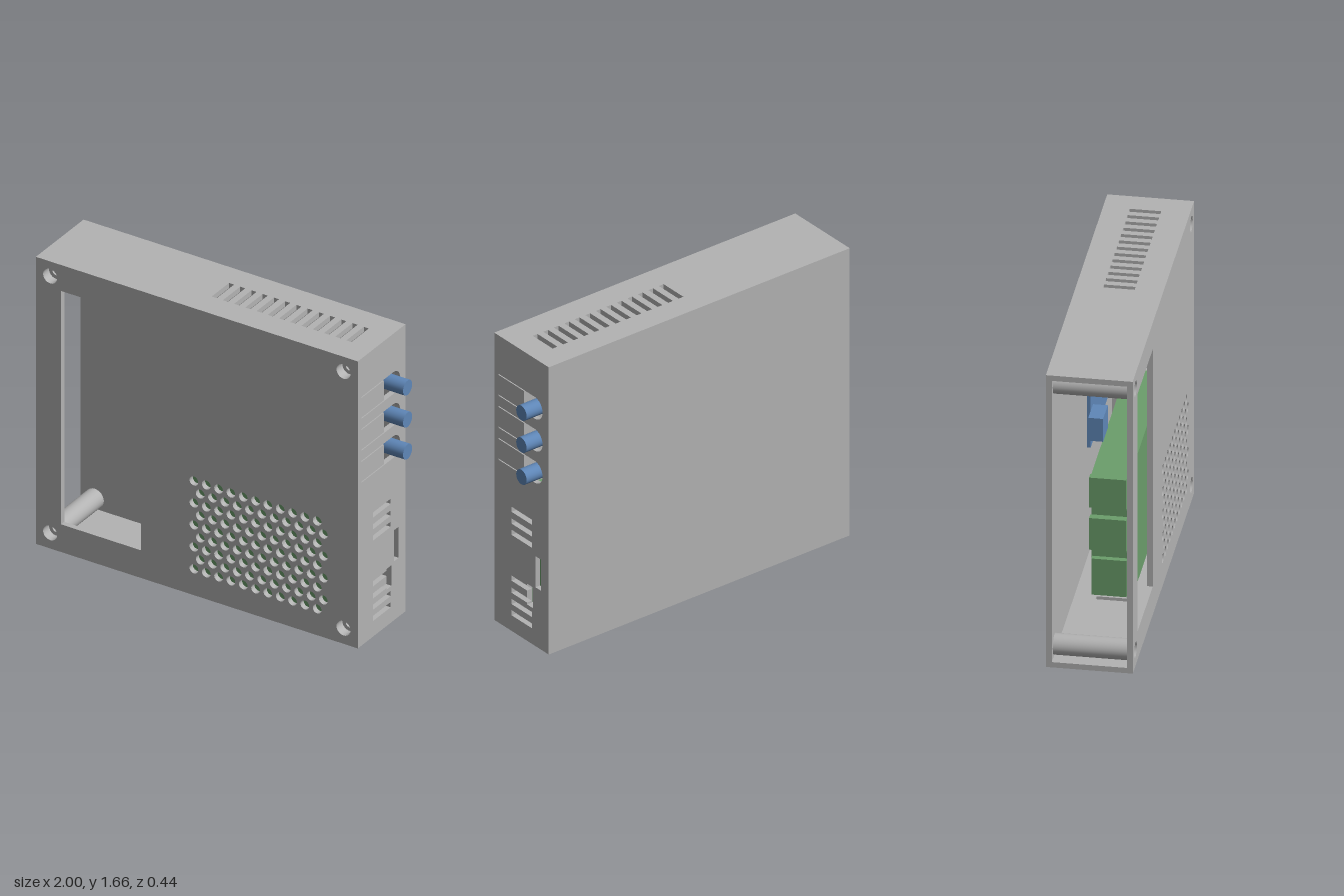
import * as THREE from 'three';
import { toCreasedNormals } from 'three/addons/utils/BufferGeometryUtils.js';

const X0 = -1, X1 = 0.915, H = 1.66, D = 0.22, T = 0.03; // case extents and wall thickness

const mat = (name, color) => {
  const m = new THREE.MeshStandardMaterial({ color });
  m.name = name;
  return m;
};

const rectPoints = (a, b, c, d) => [[a, b], [c, b], [c, d], [a, d]].map(([x, y]) => new THREE.Vector2(x, y));
const rectHole = (a, b, c, d) => new THREE.Path(rectPoints(a, b, c, d));
const polyHole = pts => new THREE.Path(pts.map(([x, y]) => new THREE.Vector2(x, y)));
const roundHole = (x, y, r) => new THREE.Path().absarc(x, y, r, 0, Math.PI * 2, true);

// Flat wall of thickness T with cut-outs
function panel(a, b, c, d, holes) {
  const shape = new THREE.Shape(rectPoints(a, b, c, d));
  shape.holes.push(...holes);
  const g = new THREE.ExtrudeGeometry(shape, { depth: T, bevelEnabled: false, curveSegments: 10 });
  return toCreasedNormals(g, 0.7);
}

export function createModel() {
  const model = new THREE.Group();
  const grey = mat('case grey', 0xb3b3b3);
  const blue = mat('control blue', 0x5f87b8);
  const green = mat('circuit green', 0x6b9e6b);

  const add = (name, geometry, material, x = 0, y = 0, z = 0) => {
    const mesh = new THREE.Mesh(geometry, material);
    mesh.name = name;
    mesh.position.set(x, y, z);
    model.add(mesh);
    return mesh;
  };
  // Box given by its minimum and maximum corners
  const addBox = (name, material, x0, y0, z0, x1, y1, z1) =>
    add(name, new THREE.BoxGeometry(x1 - x0, y1 - y0, z1 - z0), material,
      (x0 + x1) / 2, (y0 + y1) / 2, (z0 + z1) / 2);

  const screws = [[-0.915, 0.09], [-0.915, 1.575], [0.83, 0.09], [0.83, 1.575]];

  // Front wall: window, screw holes and staggered speaker grille
  const frontHoles = [rectHole(-0.85, 0.16, -0.375, 1.51)];
  screws.forEach(([x, y]) => frontHoles.push(roundHole(x, y, 0.042)));
  for (let row = 0; row < 9; row++) {
    for (let i = 0; i < 11; i++) {
      frontHoles.push(roundHole(-0.06 + i * 0.0733 + (row % 2) * 0.037, 0.152 + row * 0.0635, 0.026));
    }
  }
  add('frontWall', panel(X0, 0, X1, H, frontHoles), grey, 0, 0, D - T);
  addBox('backWall', grey, X0, 0, -D, X1, H, -D + T);

  // Top wall with a row of vents
  const inner = D - T;
  const topHoles = [];
  for (let i = 0; i < 13; i++) {
    const x = -0.033 + i * 0.0668;
    topHoles.push(rectHole(x - 0.015, -0.075, x + 0.015, 0.085));
  }
  add('topWall', panel(X0, -inner, X1, inner, topHoles), grey, 0, H - T, 0).rotation.x = -Math.PI / 2;

  // Bottom wall with connector opening, thin slit and vents
  const bottomHoles = [
    polyHole([[0.17, 0], [0.27, 0], [0.27, 0.02], [0.60, 0.02], [0.60, 0], [0.70, 0], [0.70, 0.11], [0.17, 0.11]]),
    rectHole(0.165, -0.183, 0.685, -0.177),
  ];
  for (let i = 0; i < 7; i++) {
    const x = 0.09 - i * 0.065;
    bottomHoles.push(rectHole(x - 0.015, -0.08, x + 0.015, 0.08));
  }
  add('bottomWall', panel(X0, -inner, X1, inner, bottomHoles), grey).rotation.x = -Math.PI / 2;
  addBox('connectorLip', grey, 0.17, T, 0, 0.70, 0.055, 0.03);

  // Side wall: flexible button tongues, vents and ports
  const buttonHeights = [1.005, 1.19, 1.375];
  const sideHoles = buttonHeights.map(c => {
    const p = new THREE.Path();
    p.moveTo(-0.19 + 0.005, c - 0.063);
    p.lineTo(0.107, c - 0.063);
    p.absarc(0.107, c, 0.063, -Math.PI / 2, Math.PI / 2, false);
    p.lineTo(-0.185, c + 0.063);
    p.lineTo(-0.185, c + 0.057);
    p.lineTo(0.02, c + 0.057);
    p.lineTo(0.02, c - 0.057);
    p.lineTo(-0.185, c - 0.057);
    return p;
  });
  [0.105, 0.17, 0.57, 0.635, 0.703].forEach(y =>
    sideHoles.push(rectHole(-0.08, y - 0.015, 0.083, y + 0.015)));
  sideHoles.push(rectHole(0.112, 0.34, 0.157, 0.52));
  // two vents merged with an upright port
  sideHoles.push(polyHole([
    [0.045, 0.21], [0.092, 0.21], [0.092, 0.33], [0.045, 0.33], [0.045, 0.32], [-0.08, 0.32],
    [-0.08, 0.29], [0.045, 0.29], [0.045, 0.25], [-0.08, 0.25], [-0.08, 0.22], [0.045, 0.22],
  ]));
  add('sideWall', panel(-inner, T, inner, H - T, sideHoles), grey, X1 - T, 0, 0).rotation.y = Math.PI / 2;

  // Hollow screw posts running from front to back
  const profile = [[0.055, -inner], [0.055, inner], [0.042, inner], [0.042, 0.165], [0.022, 0.165], [0.022, 0.08], [0, 0.08]];
  const postGeometry = toCreasedNormals(
    new THREE.LatheGeometry(profile.map(([r, y]) => new THREE.Vector2(r, y)), 24), 0.7);
  screws.forEach(([x, y]) => { add('screwPost', postGeometry, grey, x, y, 0).rotation.x = Math.PI / 2; });

  // Main circuit board with its components and end sockets
  addBox('mainBoard', green, -0.35, 0.062, 0.088, 0.76, 0.79, 0.108);
  addBox('boardComponents', green, -0.35, 0.14, -0.095, 0.76, 0.76, 0.088);
  addBox('upperSocket', green, -0.39, 0.59, -0.1, -0.35, 0.76, 0.088);
  addBox('middleSocket', green, -0.39, 0.35, -0.1, -0.35, 0.53, 0.088);
  addBox('lowerSocket', green, -0.38, 0.09, -0.09, -0.35, 0.295, 0.088);

  // Control board, its plug and the three push buttons
  addBox('controlBoard', blue, -0.37, 0.92, -0.115, 0.8, 1.46, -0.095);
  addBox('controlPlug', blue, -0.445, 1.0, -0.095, -0.3, 1.13, -0.02);
  const buttonGeometry = new THREE.CylinderGeometry(0.042, 0.042, 0.22, 28);
  buttonHeights.forEach(y => {
    add('pushButton', buttonGeometry, blue, 0.89, y, -0.107).rotation.z = -Math.PI / 2;
  });

  return model;
}
